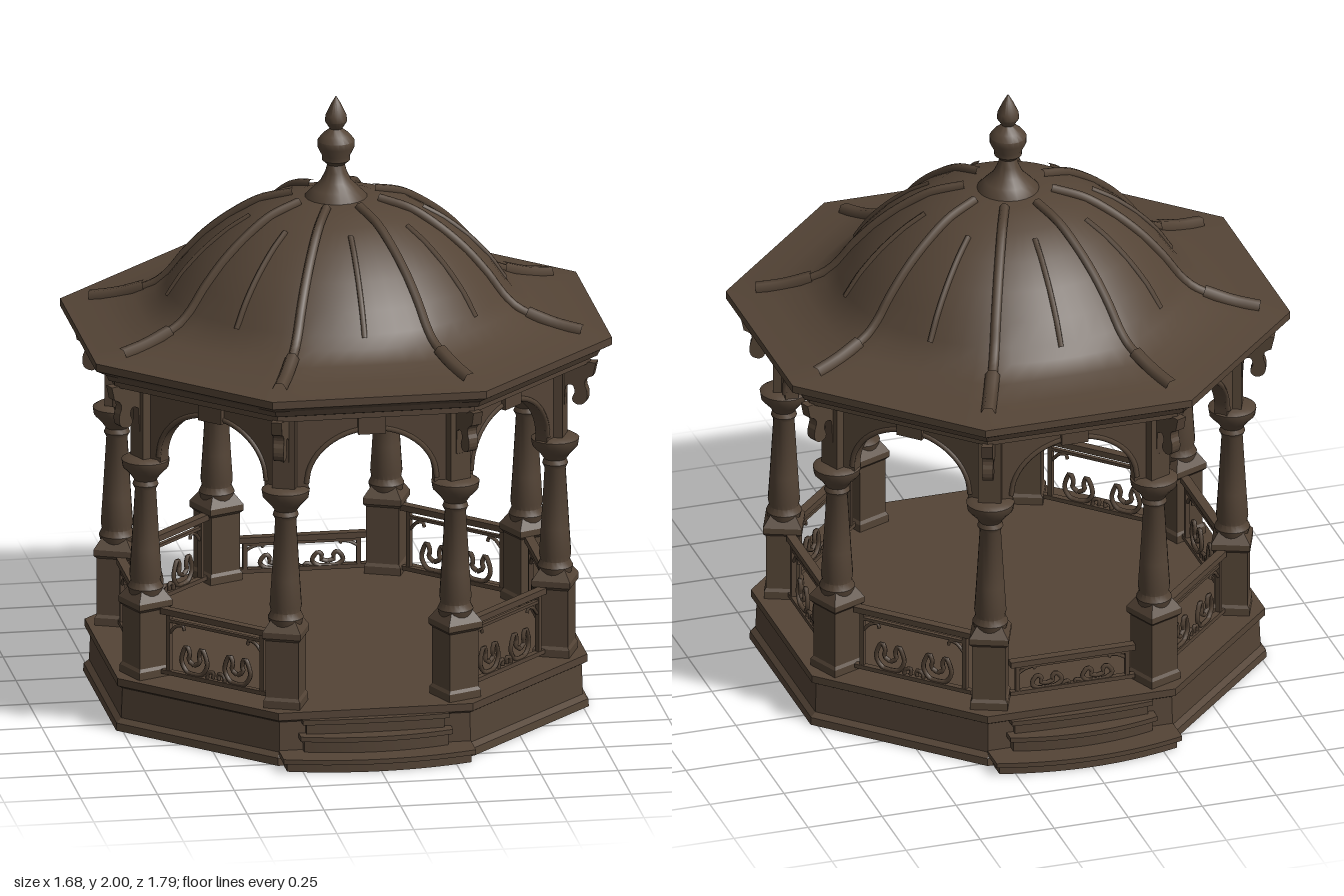
import * as THREE from 'three';
import { toCreasedNormals } from 'three/addons/utils/BufferGeometryUtils.js';

const bronze = new THREE.MeshStandardMaterial({ color: 0x544436 });
bronze.name = 'dark bronze';

function add(parent, name, geometry, x = 0, y = 0, z = 0) {
  const mesh = new THREE.Mesh(geometry, bronze);
  mesh.name = name;
  mesh.position.set(x, y, z);
  parent.add(mesh);
  return mesh;
}

const box = (w, h, d) => new THREE.BoxGeometry(w, h, d);

// Skin over stacked rings [apothem, y, roundness]: roundness 0 is a polygon, 1 a circle.
function loft(profile, sides, perSide = 1, crease = 0.5) {
  const n = sides * perSide, step = (Math.PI * 2) / sides, pos = [];
  const point = ([apothem, y, round = 0], j) => {
    const a = (j / n) * Math.PI * 2 - step / 2;
    const off = ((j % perSide) / perSide) * step - step / 2;
    const r = THREE.MathUtils.lerp(apothem / Math.cos(off), apothem, round);
    return [r * Math.sin(a), y, r * Math.cos(a)];
  };
  for (let i = 0; i < profile.length - 1; i++) {
    const lo = profile[i], hi = profile[i + 1];
    for (let j = 0; j < n; j++) {
      const a = point(lo, j), b = point(lo, j + 1), c = point(hi, j + 1), d = point(hi, j);
      if (lo[0] > 0) pos.push(...a, ...b, ...c);
      if (hi[0] > 0) pos.push(...a, ...c, ...d);
    }
  }
  const g = new THREE.BufferGeometry();
  g.setAttribute('position', new THREE.Float32BufferAttribute(pos, 3));
  return toCreasedNormals(g, crease);
}

function lathe(points, sides = 20) {
  const g = new THREE.LatheGeometry(points.map(([r, y]) => new THREE.Vector2(r, y)), sides);
  return toCreasedNormals(g, 0.7);
}

function tube(points, radius, segments = 18, sides = 5) {
  const curve = new THREE.CatmullRomCurve3(points.map(p => new THREE.Vector3(...p)));
  return new THREE.TubeGeometry(curve, segments, radius, sides);
}

// Outer roof section, shared by the shell and its ribs.
const ROOF = [
  [0.84, 1.25, 0], [0.72, 1.265, 0], [0.63, 1.29, 0.15], [0.575, 1.325, 0.6], [0.545, 1.365, 0.9],
  [0.5, 1.43, 1], [0.43, 1.505, 1], [0.35, 1.57, 1], [0.25, 1.63, 1], [0.14, 1.66, 1], [0, 1.67, 1],
];

function buildRoof() {
  const roof = new THREE.Group();
  roof.name = 'roof';
  const inner = [[0, 1.64, 1], [0.24, 1.6, 1], [0.41, 1.48, 1], [0.52, 1.35, 1], [0.57, 1.27, 0.5], [0.62, 1.16, 0]];
  const eave = [[0.775, 1.16], [0.775, 1.178], [0.795, 1.185], [0.805, 1.205], [0.84, 1.225]];
  add(roof, 'domeAndEaves', loft([...inner, ...eave, ...ROOF], 8, 8));

  for (let i = 0; i < 8; i++) {
    // Long ribs run to the corners, flaring into a foot
    const long = new THREE.Group();
    long.rotation.y = (i + 0.5) * Math.PI / 4;
    const path = ROOF.slice(1, 10).map(([a, y, round]) =>
      [0, y + 0.004, THREE.MathUtils.lerp(a / Math.cos(Math.PI / 8), a, round)]);
    add(long, 'longRib', tube(path, 0.016, 30, 6));
    add(long, 'ribFoot', tube([[0, 1.262, 0.81], [0, 1.28, 0.72], [0, 1.31, 0.63]], 0.024, 8, 6));
    roof.add(long);
    // Short ribs lie along the middle of each face
    const short = new THREE.Group();
    short.rotation.y = i * Math.PI / 4;
    add(short, 'shortRib', tube([[0, 1.355, 0.55], [0, 1.43, 0.5], [0, 1.505, 0.43], [0, 1.57, 0.35], [0, 1.612, 0.28]], 0.01));
    roof.add(short);
  }

  add(roof, 'finial', lathe([
    [0.105, 1.63], [0.1, 1.665], [0.075, 1.69], [0.05, 1.715], [0.035, 1.745], [0.028, 1.77], [0.045, 1.785],
    [0.045, 1.8], [0.06, 1.83], [0.06, 1.85], [0.045, 1.87], [0.02, 1.89], [0.036, 1.915], [0.034, 1.935], [0.015, 1.975], [0, 2],
  ]));
  return roof;
}

function buildColumn() {
  const column = new THREE.Group();
  column.name = 'column';
  const R = 0.722;
  add(column, 'pedestal', loft([
    [0.06, 0.17], [0.06, 0.2], [0.054, 0.21], [0.054, 0.4], [0.063, 0.41], [0.063, 0.43], [0.035, 0.475],
  ], 4), 0, 0, R);
  add(column, 'shaft', lathe([
    [0.05, 0.44], [0.058, 0.47], [0.048, 0.49], [0.052, 0.51], [0.046, 0.6], [0.034, 0.8], [0.042, 0.815],
    [0.036, 0.83], [0.05, 0.85], [0.074, 0.875], [0.078, 0.9], [0.062, 0.91], [0, 0.91],
  ]), 0, 0, R);
  add(column, 'post', box(0.075, 0.28, 0.075), 0, 1.03, R - 0.005);
  // Scroll bracket carrying the eaves
  const s = new THREE.Shape();
  s.moveTo(0.73, 1.165);
  s.lineTo(0.86, 1.165);
  s.lineTo(0.85, 1.12);
  s.quadraticCurveTo(0.81, 1.11, 0.83, 1.07);
  s.quadraticCurveTo(0.84, 1.02, 0.8, 1.02);
  s.quadraticCurveTo(0.77, 1.03, 0.79, 1.06);
  s.quadraticCurveTo(0.79, 1.1, 0.76, 1.08);
  s.lineTo(0.755, 1.0);
  s.lineTo(0.73, 0.98);
  const g = new THREE.ExtrudeGeometry(s, { depth: 0.035, bevelEnabled: false, curveSegments: 6 });
  g.translate(0, 0, -0.0175);
  g.rotateY(-Math.PI / 2);
  add(column, 'bracket', g);
  return column;
}

function buildArch() {
  const arch = new THREE.Group();
  arch.name = 'arch';
  const s = new THREE.Shape();
  s.moveTo(-0.275, 0.9);
  s.lineTo(-0.205, 0.9);
  s.absellipse(0, 0.92, 0.205, 0.17, Math.PI, 0, true);
  s.lineTo(0.205, 0.9);
  s.lineTo(0.275, 0.9);
  s.lineTo(0.275, 1.17);
  s.lineTo(-0.275, 1.17);
  const g = new THREE.ExtrudeGeometry(s, { depth: 0.045, bevelEnabled: false, curveSegments: 24 });
  add(arch, 'archWall', toCreasedNormals(g, 0.5), 0, 0, 0.64);
  add(arch, 'cornice', box(0.57, 0.03, 0.07), 0, 1.152, 0.665);
  add(arch, 'keystone', box(0.09, 0.07, 0.07), 0, 1.115, 0.665);
  const rim = [];
  for (let i = 0; i <= 12; i++) {
    const a = (i / 12) * Math.PI;
    rim.push([0.212 * Math.cos(a), 0.92 + 0.177 * Math.sin(a), 0.685]);
  }
  add(arch, 'archMoulding', tube(rim, 0.009, 28));
  return arch;
}

// Iron railing panel with mirrored scrolls, reaching from the floor to height top
function buildRailing(top) {
  const rail = new THREE.Group();
  rail.name = 'railing';
  const z = 0.665, low = 0.19, k = (top - low) / 0.21;
  add(rail, 'topRail', box(0.42, 0.02, 0.03), 0, top, z);
  add(rail, 'upperBar', box(0.38, 0.01, 0.014), 0, top - 0.03 * k, z);
  add(rail, 'bottomRail', box(0.42, 0.014, 0.02), 0, low + 0.005, z);
  for (const side of [-1, 1]) {
    add(rail, 'endBar', box(0.014, top - low, 0.016), side * 0.185, (top + low) / 2, z);
    add(rail, 'cornerCurl', tube([[0.18, 0.14], [0.155, 0.165], [0.13, 0.17], [0.125, 0.155]]
      .map(([x, y]) => [side * x, low + y * k, z]), 0.006, 10));
    add(rail, 'middleCurl', tube([[0.035, 0.0], [0.03, 0.03], [0.01, 0.035], [0.012, 0.015]]
      .map(([x, y]) => [side * x, low + y * k, z]), 0.007, 10));
    for (const half of [-1, 1]) {
      add(rail, 'scroll', tube([[0, 0.015], [0.03, 0.02], [0.05, 0.05], [0.045, 0.08], [0.03, 0.105], [0.018, 0.08], [0.022, 0.06], [0, 0.045]]
        .map(([x, y]) => [side * 0.085 + half * x, low + y * k, z]), 0.008, 20));
    }
  }
  return rail;
}

// Bow-fronted stair slab
function slab(half, corner, middle, height) {
  const s = new THREE.Shape();
  s.moveTo(-half, -0.6);
  s.lineTo(-half, -corner);
  s.quadraticCurveTo(0, -(2 * middle - corner), half, -corner);
  s.lineTo(half, -0.6);
  const g = new THREE.ExtrudeGeometry(s, { depth: height, bevelEnabled: false, curveSegments: 14 });
  g.rotateX(-Math.PI / 2);
  return toCreasedNormals(g, 0.5);
}

function buildSteps() {
  const steps = new THREE.Group();
  steps.name = 'steps';
  const rows = [[0.3, 0.835, 0.88, 0, 0.045], [0.235, 0.78, 0.815, 0.045, 0.1], [0.225, 0.765, 0.775, 0.1, 0.15]];
  for (const [half, corner, middle, y0, y1] of rows) {
    add(steps, 'riser', slab(half, corner, middle, y1 - y0 - 0.015), 0, y0, 0);
    add(steps, 'tread', slab(half + 0.013, corner + 0.012, middle + 0.014, 0.016), 0, y1 - 0.016, 0);
  }
  return steps;
}

export function createModel() {
  const model = new THREE.Group();
  model.name = 'gazebo';

  // Octagonal plinth, hollowed underneath
  add(model, 'plinth', loft([
    [0, 0.03], [0.54, 0.03], [0.54, 0], [0.77, 0], [0.768, 0.025], [0.752, 0.04], [0.748, 0.14],
    [0.765, 0.15], [0.765, 0.175], [0, 0.175],
  ], 8));

  for (let i = 0; i < 8; i++) {
    const bay = new THREE.Group();
    bay.name = 'bay';
    bay.rotation.y = i * Math.PI / 4;
    bay.add(buildArch());
    // The front bay stays open, the back one has a low railing
    if (i !== 0) bay.add(buildRailing(i === 4 ? 0.3 : 0.4));
    if (i % 4 === 0) bay.add(buildSteps());
    model.add(bay);

    const column = buildColumn();
    column.rotation.y = (i + 0.5) * Math.PI / 4;
    model.add(column);
  }

  model.add(buildRoof());
  return model;
}
